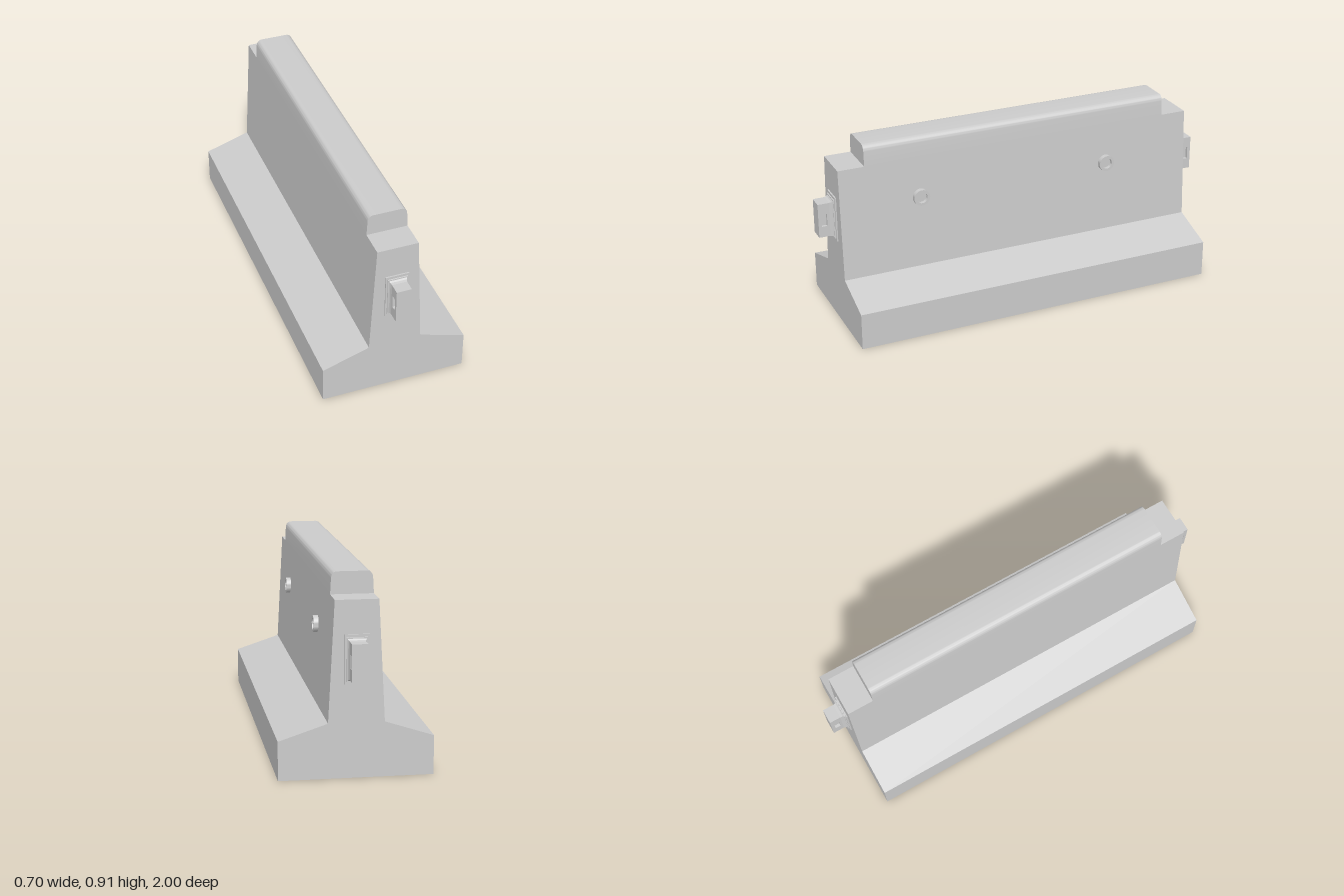
import * as THREE from 'three';
import { toCreasedNormals } from 'three/addons/utils/BufferGeometryUtils.js';

const material = new THREE.MeshStandardMaterial({ color: 0xcccccc });

function add(parent, name, geometry) {
  const mesh = new THREE.Mesh(geometry, material);
  mesh.name = name;
  parent.add(mesh);
  return mesh;
}

// Extrude a shape along z, centred on z = 0, keeping hard edges sharp
function extrude(shape, length) {
  const g = new THREE.ExtrudeGeometry(shape, { depth: length, bevelEnabled: false, curveSegments: 8 });
  g.translate(0, 0, -length / 2);
  return toCreasedNormals(g, 0.5);
}

// Stack of rectangles [halfWidth, halfHeight, z] joined into one flat-sided solid
function rectLoft(rings) {
  const pos = [], idx = [];
  for (const [w, h, z] of rings) pos.push(-w, -h, z, w, -h, z, w, h, z, -w, h, z);
  for (let r = 0; r < rings.length - 1; r++) {
    for (let i = 0; i < 4; i++) {
      const a = r * 4 + i, b = r * 4 + (i + 1) % 4;
      idx.push(a, b, b + 4, a, b + 4, a + 4);
    }
  }
  const e = (rings.length - 1) * 4;
  idx.push(e, e + 1, e + 2, e, e + 2, e + 3);
  const g = new THREE.BufferGeometry();
  g.setAttribute('position', new THREE.Float32BufferAttribute(pos, 3));
  g.setIndex(idx);
  const flat = g.toNonIndexed();
  flat.computeVertexNormals();
  return flat;
}

function rectPath(path, x0, y0, x1, y1) {
  path.moveTo(x0, y0);
  path.lineTo(x1, y0);
  path.lineTo(x1, y1);
  path.lineTo(x0, y1);
  path.closePath();
  return path;
}

// Connector at the +z end: stepped, flared plate and a tongue with slots in its sides
function createConnector() {
  const group = new THREE.Group();
  add(group, 'connectorPlate', rectLoft([
    [0.056, 0.112, 0.91], [0.056, 0.112, 0.922],
    [0.048, 0.1, 0.922], [0.047, 0.099, 0.927],
    [0.043, 0.094, 0.927], [0.039, 0.088, 0.933], [0.036, 0.085, 0.945],
  ]));
  const side = rectPath(new THREE.Shape(), -1, -0.085, -0.93, 0.085);
  side.holes.push(rectPath(new THREE.Path(), -0.984, -0.031, -0.957, 0.031));
  add(group, 'connectorTongue', extrude(side, 0.072).rotateY(Math.PI / 2));
  const core = add(group, 'slotFloor', new THREE.BoxGeometry(0.044, 0.08, 0.04));
  core.position.z = 0.97;
  group.position.y = 0.54;
  return group;
}

export function createModel() {
  const model = new THREE.Group();
  model.name = 'roadBarrier';

  // Wide foot and tapering wall
  const body = new THREE.Shape([
    [-0.35, 0], [0.35, 0], [0.35, 0.18], [0.127, 0.253],
    [0.098, 0.805], [-0.098, 0.805], [-0.127, 0.253], [-0.35, 0.18],
  ].map(([x, y]) => new THREE.Vector2(x, y)));
  add(model, 'barrierBody', extrude(body, 1.83));

  // Shorter raised top with rounded shoulders
  const cap = new THREE.Shape();
  cap.moveTo(-0.098, 0.805);
  cap.lineTo(0.098, 0.805);
  cap.lineTo(0.094, 0.878);
  cap.bezierCurveTo(0.093, 0.895, 0.082, 0.907, 0.066, 0.907);
  cap.lineTo(-0.066, 0.907);
  cap.bezierCurveTo(-0.082, 0.907, -0.093, 0.895, -0.094, 0.878);
  cap.closePath();
  add(model, 'topCap', extrude(cap, 1.57));

  // Connectors at both ends
  for (const [name, angle] of [['frontConnector', 0], ['backConnector', Math.PI]]) {
    const connector = createConnector();
    connector.name = name;
    connector.rotation.y = angle;
    model.add(connector);
  }

  // Hollow lifting sockets on the left face
  const profile = [[0.04, 0.09], [0.04, 0.13], [0.027, 0.13], [0.027, 0.112], [0, 0.112]];
  const socket = toCreasedNormals(
    new THREE.LatheGeometry(profile.map(([r, h]) => new THREE.Vector2(r, h)), 32).toNonIndexed(), 0.5);
  socket.rotateZ(-Math.PI / 2);
  for (const z of [0.515, -0.467]) {
    add(model, 'liftingSocket', socket).position.set(0, 0.608, z);
  }
  return model;
}
